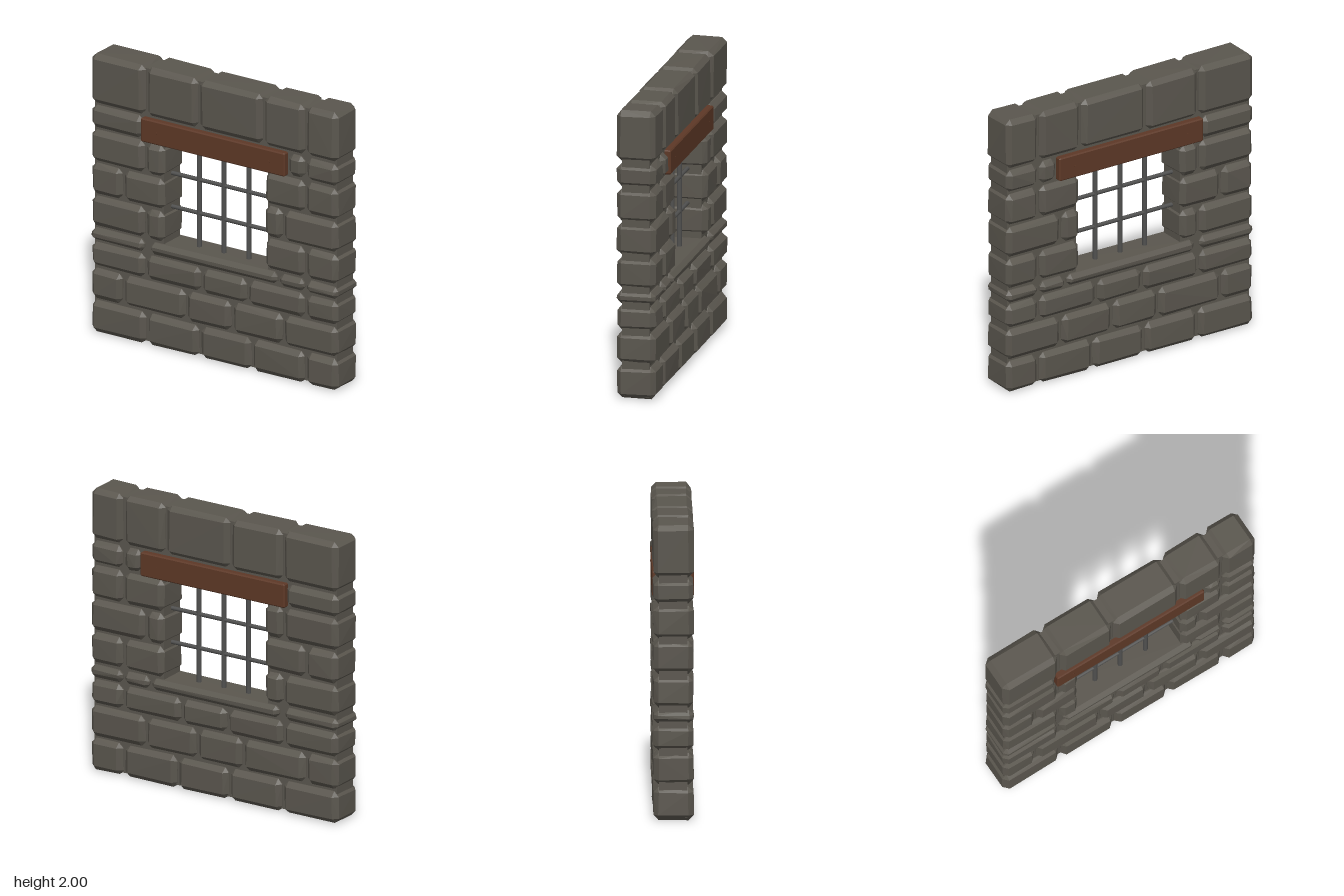
import * as THREE from 'three';
import { ConvexGeometry } from 'three/addons/geometries/ConvexGeometry.js';

const stone = new THREE.MeshStandardMaterial({ color: 0x5a564e, flatShading: true });
stone.name = 'stone grey';
const wood = new THREE.MeshStandardMaterial({ color: 0x5d3826, flatShading: true });
wood.name = 'wood brown';
const iron = new THREE.MeshStandardMaterial({ color: 0x50504f });
iron.name = 'iron grey';

let seed = 7;
function rand() {
  seed = (seed * 16807) % 2147483647;
  return seed / 2147483647;
}

// Box with every edge and corner chamfered; wear nudges the corners inwards
function chamferedBox(w, h, d, c, wear) {
  const half = [w / 2, h / 2, d / 2];
  const points = [];
  for (const sx of [-1, 1]) for (const sy of [-1, 1]) for (const sz of [-1, 1]) {
    const s = [sx, sy, sz];
    for (let axis = 0; axis < 3; axis++) {
      const p = half.map((v, i) => s[i] * (v - (i === axis ? 0 : c) - rand() * wear));
      points.push(new THREE.Vector3(...p));
    }
  }
  return new ConvexGeometry(points);
}

function add(group, name, geometry, material, x, y, z = 0) {
  const mesh = new THREE.Mesh(geometry, material);
  mesh.name = name;
  mesh.position.set(x, y, z);
  group.add(mesh);
  return mesh;
}

export function createModel() {
  seed = 7;
  const model = new THREE.Group();
  model.name = 'barredWindowWall';

  // Stone courses: bottom, top, then runs of block joints
  const courses = [
    [0, 0.235, [[-1, -0.55, -0.12, 0.3, 0.735, 1]]],
    [0.235, 0.465, [[-1, -0.74, -0.23, 0.14, 0.555, 1]]],
    [0.465, 0.652, [[-1, -0.56, -0.105, 0.265, 0.735, 1]]],
    [0.652, 0.755, [[-1, -0.56], [-0.53, 0.515, 0.735, 1]]],
    [0.755, 0.985, [[-1, -0.56, -0.4], [0.4, 0.735, 1]]],
    [0.985, 1.22, [[-1, -0.74, -0.4], [0.4, 0.555, 1]]],
    [1.22, 1.46, [[-1, -0.56, -0.4], [0.4, 0.735, 1]]],
    [1.46, 1.635, [[-1, -0.575], [0.585, 0.735, 1]]],
    [1.635, 2, [[-1, -0.555, -0.13, 0.395, 0.735, 1]]],
  ];
  const gap = 0.006;
  const blocks = new THREE.Group();
  blocks.name = 'stoneBlocks';
  for (const [bottom, top, runs] of courses) {
    const y0 = bottom === 0 ? 0 : bottom + gap;
    const y1 = top === 2 ? 2 : top - gap;
    for (const joints of runs) {
      for (let i = 0; i < joints.length - 1; i++) {
        const x0 = joints[i] === -1 ? -1 : joints[i] + gap;
        const x1 = joints[i + 1] === 1 ? 1 : joints[i + 1] - gap;
        const c = Math.min(0.034, (y1 - y0) * 0.32);
        add(blocks, 'stoneBlock', chamferedBox(x1 - x0, y1 - y0, 0.276, c, 0.007),
          stone, (x0 + x1) / 2, (y0 + y1) / 2);
      }
    }
  }
  model.add(blocks);

  // Recessed mortar core around the opening: x0, x1, y0, y1
  const core = new THREE.Group();
  core.name = 'mortarCore';
  for (const [x0, x1, y0, y1] of [
    [-0.98, 0.98, 0.02, 0.73],
    [-0.98, -0.42, 0.73, 1.64],
    [0.42, 0.98, 0.73, 1.64],
    [-0.98, 0.98, 1.62, 1.975],
  ]) {
    add(core, 'mortar', new THREE.BoxGeometry(x1 - x0, y1 - y0, 0.19), stone,
      (x0 + x1) / 2, (y0 + y1) / 2);
  }
  model.add(core);

  // Wooden lintel with a peg near each end on both faces
  add(model, 'lintel', chamferedBox(1.165, 0.168, 0.28, 0.008, 0), wood, 0, 1.544);
  for (const x of [-0.455, 0.455]) for (const z of [-0.14, 0.14]) {
    add(model, 'peg', new THREE.CylinderGeometry(0.008, 0.008, 0.004, 8), wood, x, 1.544, z)
      .rotation.x = Math.PI / 2;
  }

  // Iron grille
  for (const x of [-0.2, 0, 0.2]) {
    add(model, 'verticalBar', new THREE.CylinderGeometry(0.017, 0.017, 0.78, 12), iron, x, 1.1);
  }
  for (const y of [0.985, 1.225]) {
    add(model, 'crossBar', new THREE.CylinderGeometry(0.014, 0.014, 0.86, 12), iron, 0, y)
      .rotation.z = Math.PI / 2;
  }
  return model;
}
